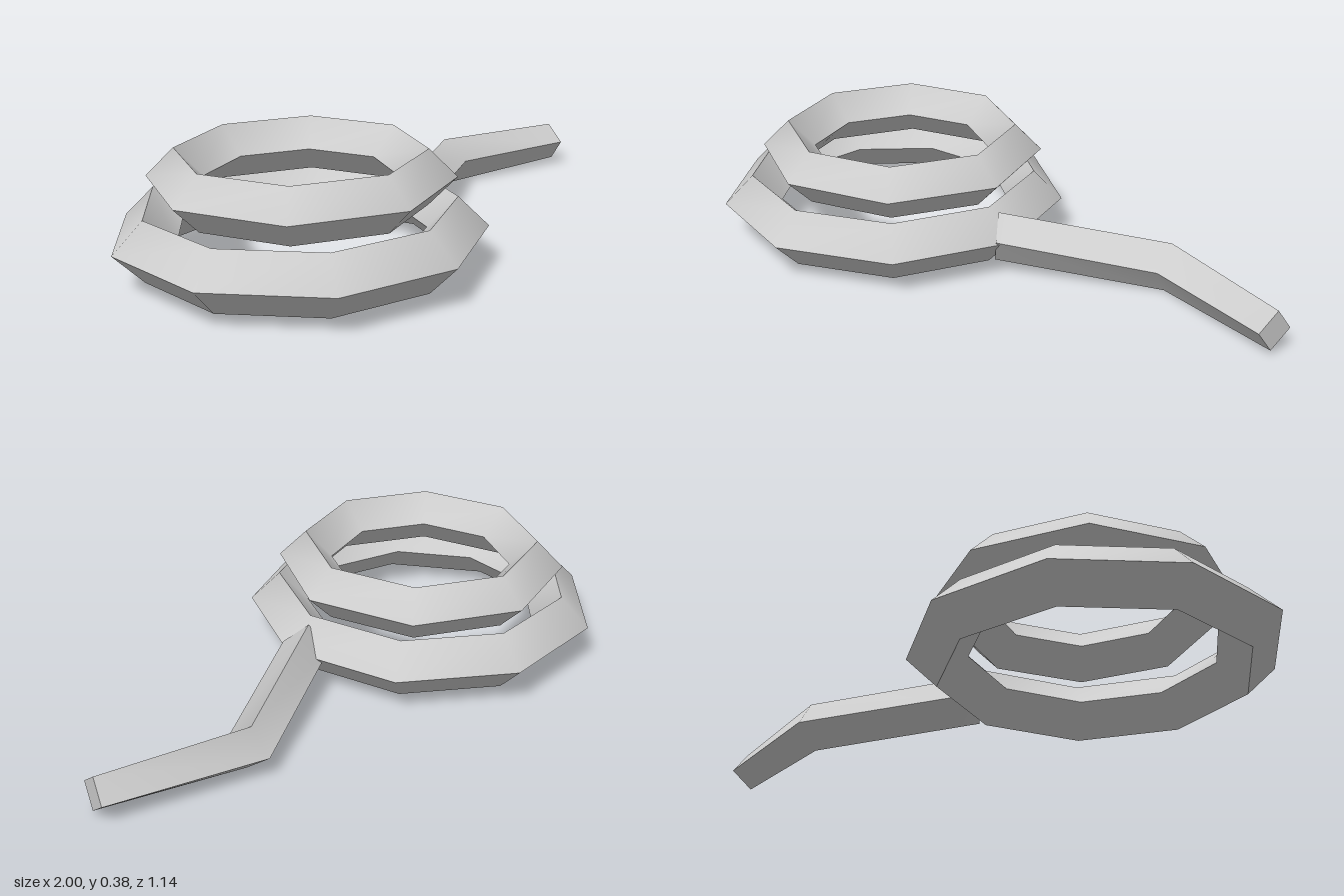
import * as THREE from 'three';
import { toCreasedNormals } from 'three/addons/utils/BufferGeometryUtils.js';

const CREASE = 1.05; // smooth along the coil, sharp across its square section

export function createModel() {
  const group = new THREE.Group();
  const grey = new THREE.MeshStandardMaterial({ color: 0xcccccc });
  grey.name = 'light grey';

  const add = (name, geometry) => {
    const mesh = new THREE.Mesh(toCreasedNormals(geometry, CREASE), grey);
    mesh.name = name;
    group.add(mesh);
    return mesh;
  };

  // Flat-lying ring with a diamond section
  const ring = (name, radius, tube, sides, x, y, z) => {
    const geometry = new THREE.TorusGeometry(radius, tube, 4, sides);
    geometry.rotateX(-Math.PI / 2);
    add(name, geometry).position.set(x, y, z);
  };
  ring('lowerCoil', 0.482, 0.096, 9, -0.458, 0.13, 0);
  ring('upperCoil', 0.385, 0.088, 8, -0.433, 0.292, -0.017);

  // Loose tail: centre, upward half-diagonal and frontward half-diagonal of each section
  const sections = [
    [[0.05, 0.128, -0.01], [-0.003, 0.08, -0.01], [0.053, 0.011, 0.052]],
    [[0.51, 0.082, -0.322], [0, 0.078, -0.014], [0.02, 0.01, 0.074]],
    [[0.99, 0.082, -0.242], [0.001, 0.063, -0.01], [-0.01, 0.008, 0.062]],
  ].map(([c, up, front]) => {
    const corner = (d, s) => c.map((v, i) => v + d[i] * s);
    return [corner(up, 1), corner(front, 1), corner(up, -1), corner(front, -1)];
  });
  const points = [];
  const quad = (a, b, c, d) => points.push(...a, ...b, ...c, ...a, ...c, ...d);
  for (let s = 0; s < sections.length - 1; s++) {
    const [p, q] = [sections[s], sections[s + 1]];
    for (let i = 0; i < 4; i++) {
      const j = (i + 1) % 4;
      quad(p[i], p[j], q[j], q[i]);
    }
  }
  // End caps
  quad(...sections[2]);
  quad(...[...sections[0]].reverse());
  const tail = new THREE.BufferGeometry();
  tail.setAttribute('position', new THREE.Float32BufferAttribute(points, 3));
  tail.computeVertexNormals();
  add('tail', tail);

  return group;
}
